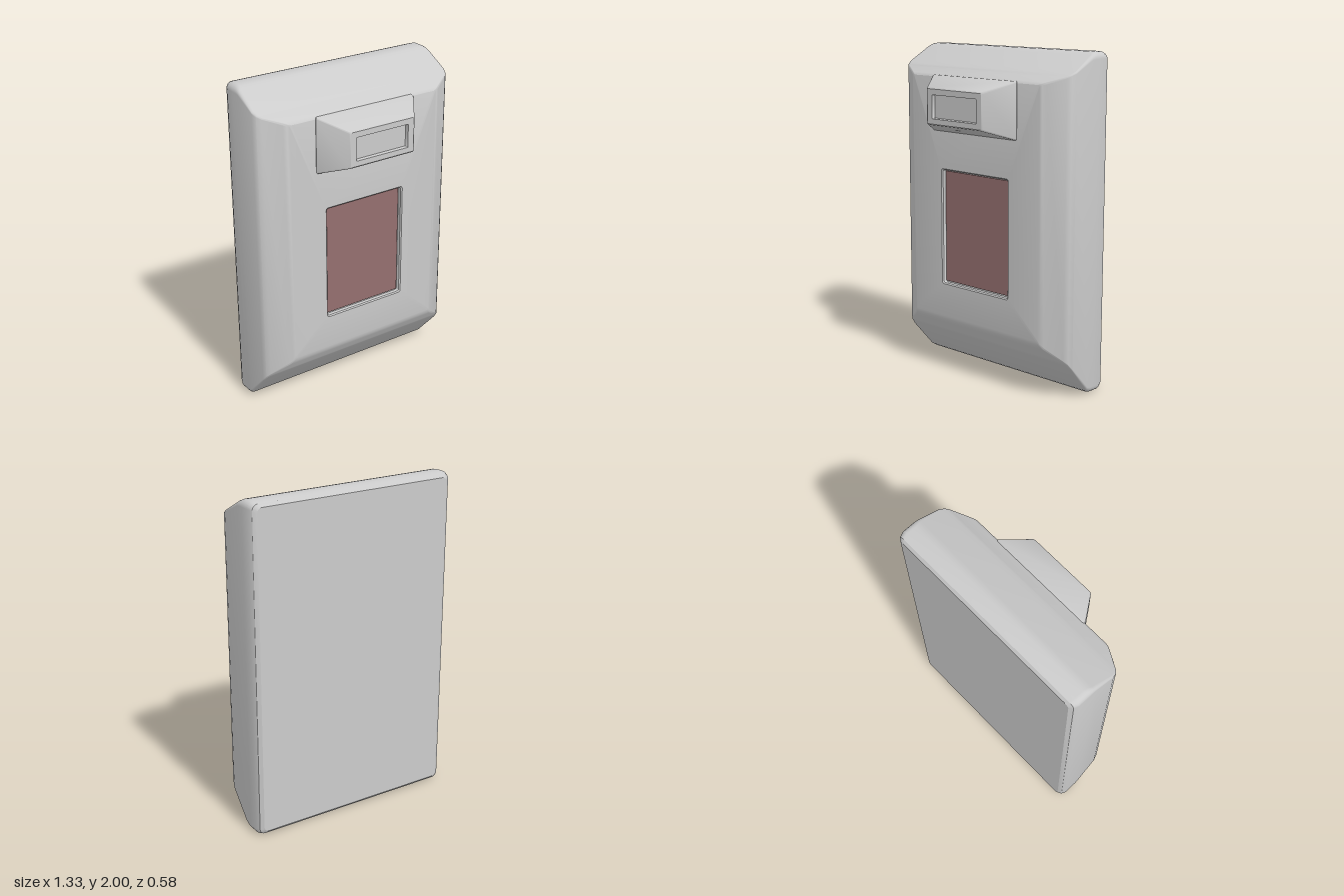
import * as THREE from 'three';
import { toCreasedNormals } from 'three/addons/utils/BufferGeometryUtils.js';

const CORNER_STEPS = 5;

// Rounded rectangle at depth z: half-width w, from y0 to y1, corner radius r
function section(z, w, y0, y1, r) {
  const points = [];
  const corners = [[w - r, y0 + r, -1], [w - r, y1 - r, 0], [r - w, y1 - r, 1], [r - w, y0 + r, 2]];
  for (const [cx, cy, quarter] of corners) {
    for (let i = 0; i <= CORNER_STEPS; i++) {
      const a = (quarter + i / CORNER_STEPS) * Math.PI / 2;
      points.push([cx + r * Math.cos(a), cy + r * Math.sin(a), z]);
    }
  }
  return points;
}

// Skin through the sections from back to front, closed at both ends
function loft(sections, crease = 0.5) {
  const n = sections[0].length;
  const positions = sections.flat(2);
  const index = [];
  for (let s = 0; s < sections.length - 1; s++) {
    for (let i = 0; i < n; i++) {
      const j = (i + 1) % n;
      const a = s * n + i, b = s * n + j, c = a + n, d = b + n;
      index.push(a, b, d, a, d, c);
    }
  }
  const last = (sections.length - 1) * n;
  for (let i = 1; i < n - 1; i++) {
    index.push(0, i + 1, i, last, last + i, last + i + 1);
  }
  const geometry = new THREE.BufferGeometry();
  geometry.setAttribute('position', new THREE.Float32BufferAttribute(positions, 3));
  geometry.setIndex(index);
  return toCreasedNormals(geometry, crease);
}

export function createModel() {
  const group = new THREE.Group();
  const grey = new THREE.MeshStandardMaterial({ color: 0xcccccc });
  const red = new THREE.MeshStandardMaterial({ color: 0x956f6f });

  const add = (name, sections, material) => {
    const mesh = new THREE.Mesh(loft(sections), material);
    mesh.name = name;
    group.add(mesh);
  };

  // Housing: bevelled back, sloped top, bottom and sides, then the window recess
  add('housing', [
    section(-0.295, 0.63, 0.03, 1.97, 0.03),
    section(-0.28, 0.652, 0.012, 1.988, 0.035),
    section(-0.25, 0.664, 0.002, 1.998, 0.04),
    section(-0.19, 0.664, 0.002, 1.998, 0.04),
    section(-0.165, 0.664, 0.008, 1.993, 0.035),
    section(-0.14, 0.663, 0.025, 1.98, 0.025),
    section(0.0, 0.662, 0.186, 1.9, 0.012),
    section(0.03, 0.652, 0.221, 1.884, 0.012),
    section(0.05, 0.632, 0.244, 1.872, 0.012),
    section(0.108, 0.535, 0.311, 1.84, 0.012),
    section(0.12, 0.515, 0.333, 1.832, 0.012),
    section(0.125, 0.5, 0.355, 1.825, 0.012),
    section(0.125, 0.272, 0.558, 1.275, 0.015),
    section(0.118, 0.265, 0.565, 1.268, 0.012),
    section(0.095, 0.265, 0.565, 1.268, 0.012),
  ], grey);

  // Coloured window panel seated in the recess
  add('windowPanel', [
    section(0.09, 0.258, 0.575, 1.26, 0.003),
    section(0.102, 0.258, 0.575, 1.26, 0.003),
  ], red);

  // Tapered sensor hood with a shallow lens recess
  add('sensorHood', [
    section(0.1, 0.335, 1.503, 1.835, 0.012),
    section(0.128, 0.335, 1.503, 1.835, 0.012),
    section(0.284, 0.224, 1.56, 1.778, 0.01),
    section(0.29, 0.215, 1.567, 1.771, 0.008),
    section(0.29, 0.177, 1.598, 1.737, 0.003),
    section(0.268, 0.174, 1.601, 1.734, 0.003),
  ], grey);

  return group;
}
